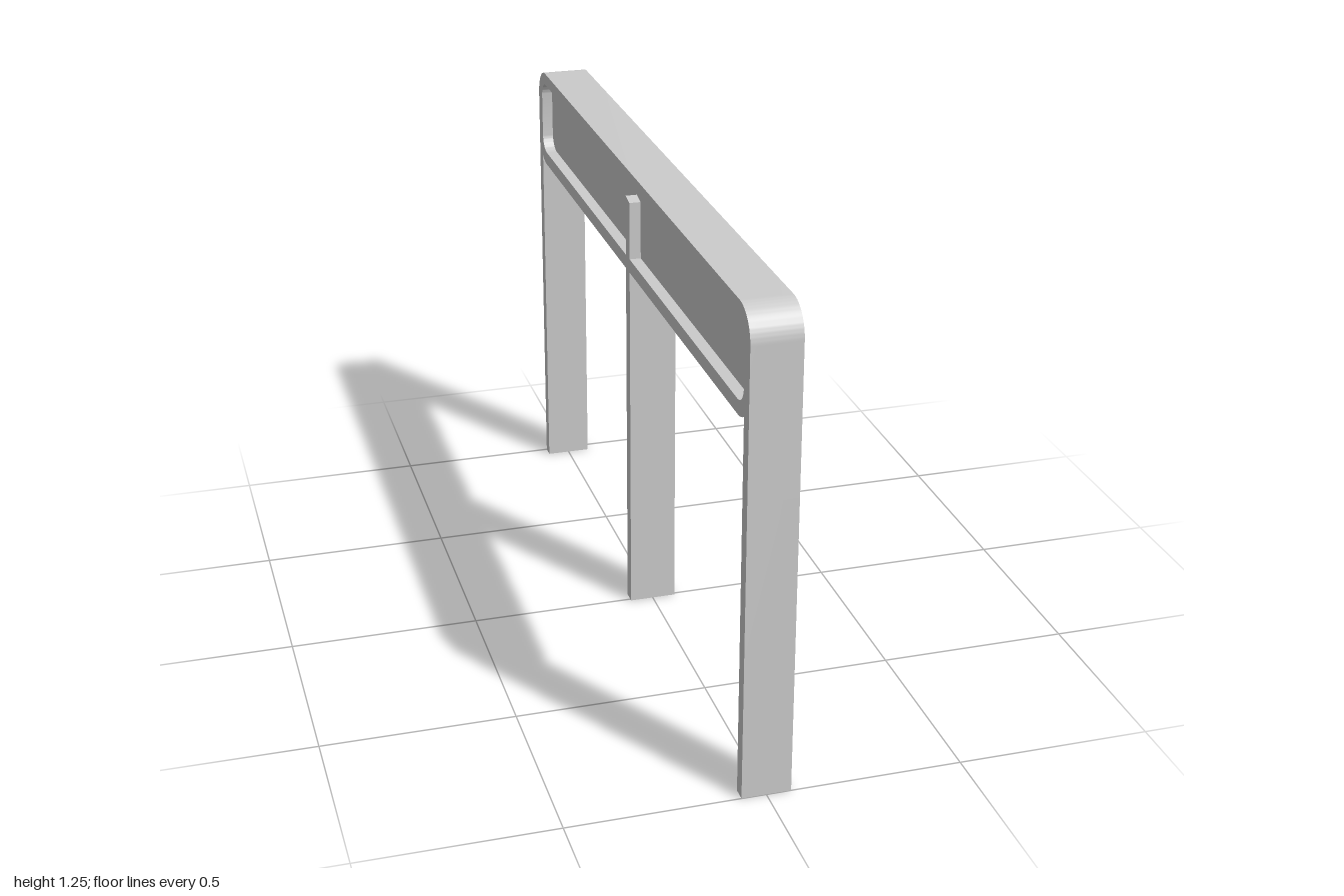
import * as THREE from 'three';
import { toCreasedNormals } from 'three/addons/utils/BufferGeometryUtils.js';

const WIDTH = 0.125;            // thickness of the whole stand along x
const LEG = 0.035;              // leg thickness along z
const TOP = 1.25, BOTTOM = 0.974, R = 0.08;
const IN_Z = 0.961, IN_TOP = 1.217, IN_BOTTOM = 1.011, IN_R = 0.045;
const POST = [-0.008, 0.028];   // middle leg, measured along -z

// Side outline: rounded sign frame with three legs, drawn with u = -z
function sideShape() {
  const s = new THREE.Shape();
  const inner = 1 - LEG;
  const a = Math.acos((R - LEG) / R); // angle at which a leg meets the lower corner arc
  s.moveTo(-1, 0);
  s.lineTo(-inner, 0);
  s.absarc(-1 + R, BOTTOM + R, R, Math.PI + a, Math.PI * 1.5, false);
  s.lineTo(POST[0], BOTTOM);
  s.lineTo(POST[0], 0);
  s.lineTo(POST[1], 0);
  s.lineTo(POST[1], BOTTOM);
  s.absarc(1 - R, BOTTOM + R, R, -Math.PI / 2, -a, false);
  s.lineTo(inner, 0);
  s.lineTo(1, 0);
  s.absarc(1 - R, TOP - R, R, 0, Math.PI / 2, false);
  s.absarc(-1 + R, TOP - R, R, Math.PI / 2, Math.PI, false);
  s.closePath();

  // Rounded window, notched by the top of the middle post
  const h = new THREE.Path();
  const cz = IN_Z - IN_R;
  h.moveTo(POST[0], IN_BOTTOM);
  h.lineTo(POST[0], 1.165);
  h.lineTo(POST[1], 1.173);
  h.lineTo(POST[1], IN_BOTTOM);
  h.absarc(cz, IN_BOTTOM + IN_R, IN_R, -Math.PI / 2, 0, false);
  h.absarc(cz, IN_TOP - IN_R, IN_R, 0, Math.PI / 2, false);
  h.absarc(-cz, IN_TOP - IN_R, IN_R, Math.PI / 2, Math.PI, false);
  h.absarc(-cz, IN_BOTTOM + IN_R, IN_R, Math.PI, Math.PI * 1.5, false);
  h.closePath();
  s.holes.push(h);
  return s;
}

export function createModel() {
  const group = new THREE.Group();
  group.name = 'signStand';
  const material = new THREE.MeshStandardMaterial({ color: 0xcccccc });

  // Frame, legs and middle post in one piece
  const frameGeometry = new THREE.ExtrudeGeometry(sideShape(), {
    depth: WIDTH, bevelEnabled: false, curveSegments: 12,
  });
  frameGeometry.translate(0, 0, -WIDTH / 2);
  frameGeometry.rotateY(Math.PI / 2);
  const frame = new THREE.Mesh(toCreasedNormals(frameGeometry, 0.6), material);
  frame.name = 'frameAndLegs';
  group.add(frame);

  // Recessed sign panel, deeper on the -x side; its rim is buried in the frame
  const xMin = -WIDTH / 2 + 0.03, xMax = WIDTH / 2 - 0.02;
  const panel = new THREE.Mesh(
    new THREE.BoxGeometry(xMax - xMin, IN_TOP - IN_BOTTOM + 0.02, 2 * IN_Z + 0.02),
    material,
  );
  panel.name = 'signPanel';
  panel.position.set((xMin + xMax) / 2, (IN_TOP + IN_BOTTOM) / 2, 0);
  group.add(panel);

  return group;
}
